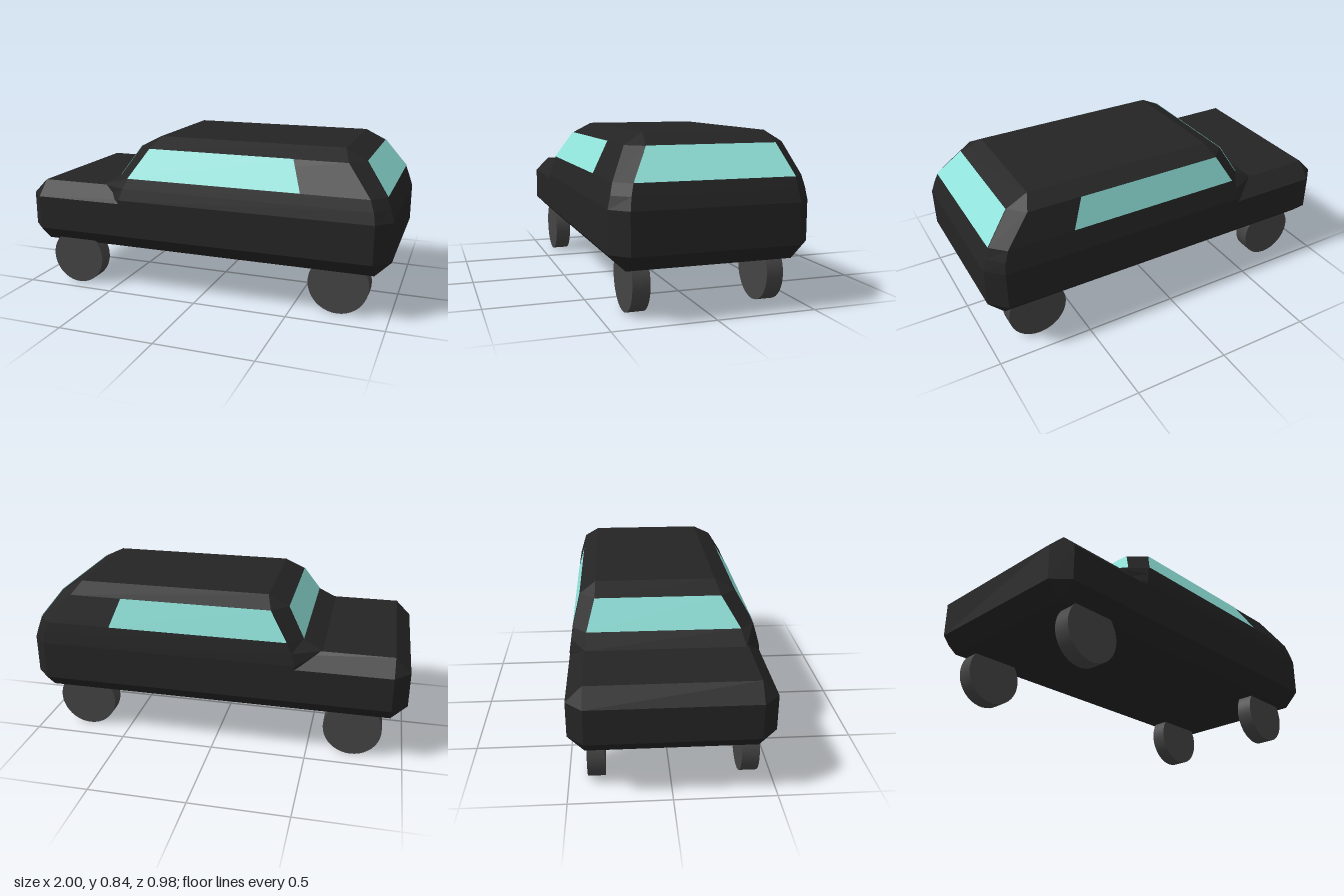
import * as THREE from 'three';

const paint = new THREE.MeshStandardMaterial({ color: 0x242424, flatShading: true });
const glass = new THREE.MeshStandardMaterial({ color: 0x90e2da, side: THREE.DoubleSide });
const rubber = new THREE.MeshStandardMaterial({ color: 0x444444 });

// Horizontal eight-cornered section. front/rear are the end faces, sideFront/sideRear
// the ends of the flanks, [cl, cr] half widths of the end faces, [zl, zr] of the flanks.
function ring(y, front, sideFront, sideRear, rear, [cl, cr], [zl, zr]) {
  return [
    [front, -cr], [front, cl], [sideFront, zl], [sideRear, zl],
    [rear, cl], [rear, -cr], [sideRear, -zr], [sideFront, -zr],
  ].map(([x, z]) => new THREE.Vector3(x, y, z));
}

// Joins stacked sections into a closed faceted shell
function loft(rings) {
  const points = [];
  const tri = (a, b, c) => {
    const area = b.clone().sub(a).cross(c.clone().sub(a)).length();
    if (area > 1e-7) points.push(a, b, c);
  };
  const n = rings[0].length;
  for (let r = 0; r < rings.length - 1; r++) {
    const lo = rings[r], hi = rings[r + 1];
    for (let i = 0; i < n; i++) {
      const j = (i + 1) % n;
      tri(lo[i], lo[j], hi[j]);
      tri(lo[i], hi[j], hi[i]);
    }
  }
  const bottom = rings[0], top = rings[rings.length - 1];
  for (let i = 1; i < n - 1; i++) {
    tri(top[0], top[i], top[i + 1]);
    tri(bottom[0], bottom[i + 1], bottom[i]);
  }
  const g = new THREE.BufferGeometry().setFromPoints(points);
  g.computeVertexNormals();
  return g;
}

// Flat pane from four corners, lifted a little off the body
function pane(a, b, c, d) {
  const normal = b.clone().sub(a).cross(d.clone().sub(a)).normalize().multiplyScalar(0.003);
  const g = new THREE.BufferGeometry().setFromPoints(
    [a, b, c, a, c, d].map((p) => p.clone().add(normal)));
  g.computeVertexNormals();
  return g;
}

export function createModel() {
  const car = new THREE.Group();
  car.name = 'car';
  const add = (name, geometry, material) => {
    const mesh = new THREE.Mesh(geometry, material);
    mesh.name = name;
    car.add(mesh);
    return mesh;
  };

  // Lower body with bevelled sill, corners and bonnet
  const inner = [0.41, 0.41], outer = [0.49, 0.49];
  add('lowerBody', loft([
    ring(0.24, -0.92, -0.92, 0.92, 0.92, inner, inner),
    ring(0.32, -1, -0.92, 0.92, 1, inner, outer),
    ring(0.50, -1, -0.92, 0.92, 1, inner, outer),
    ring(0.58, -0.92, -0.92, 0.92, 0.92, inner, inner),
  ]), paint);

  // Cabin, tapering towards the roof
  const belt = ring(0.635, -0.46, -0.385, 0.89, 0.96, [0.385, 0.40], [0.46, 0.47]);
  const gutter = ring(0.785, -0.375, -0.295, 0.765, 0.84, [0.29, 0.355], [0.37, 0.43]);
  add('cabin', loft([
    ring(0.50, -0.56, -0.43, 0.92, 1, inner, outer),
    ring(0.52, -0.56, -0.43, 0.92, 1, inner, outer),
    ring(0.58, -0.56, -0.41, 0.91, 0.98, [0.40, 0.405], [0.475, 0.48]),
    belt,
    gutter,
    ring(0.84, -0.27, -0.27, 0.73, 0.73, [0.27, 0.35], [0.27, 0.35]),
  ]), paint);

  // Windscreen and rear window
  add('windscreen', pane(belt[0], belt[1], gutter[1], gutter[0]), glass);
  add('rearWindow', pane(belt[4], belt[5], gutter[5], gutter[4]), glass);

  // Side windows, ending ahead of the rear corner
  const at = (p, x) => new THREE.Vector3(x, p.y, p.z);
  add('leftSideWindow', pane(
    belt[2], at(belt[2], 0.55), at(gutter[2], 0.49), gutter[2]), glass);
  add('rightSideWindow', pane(
    at(belt[7], 0.55), belt[7], gutter[7], at(gutter[7], 0.49)), glass);

  // Wheels: name, x, z, radius
  for (const [name, x, z, r] of [
    ['frontLeftWheel', -0.733, 0.382, 0.152],
    ['frontRightWheel', -0.733, -0.362, 0.152],
    ['rearLeftWheel', 0.737, 0.328, 0.157],
    ['rearRightWheel', 0.737, -0.343, 0.157],
  ]) {
    const wheel = add(name, new THREE.CylinderGeometry(r, r, 0.086, 40).rotateX(Math.PI / 2), rubber);
    wheel.position.set(x, r, z);
  }
  return car;
}
